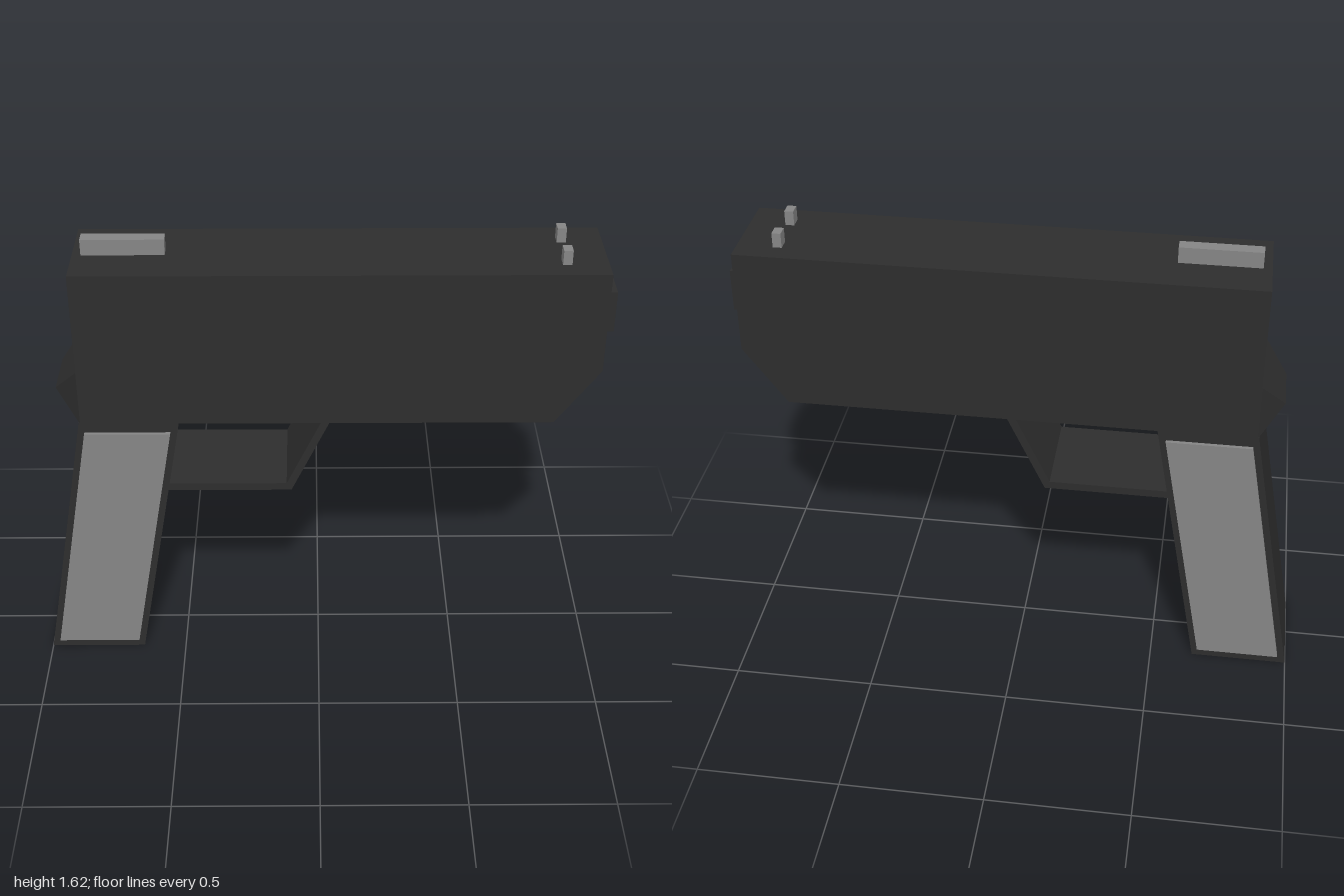
import * as THREE from 'three';
import { ConvexGeometry } from 'three/addons/geometries/ConvexGeometry.js';

const dark = new THREE.MeshStandardMaterial({ color: 0x2d2d2d, flatShading: true, side: THREE.DoubleSide });
const grey = new THREE.MeshStandardMaterial({ color: 0x858585, flatShading: true, side: THREE.DoubleSide });
const HALF = 0.174; // half thickness of the frame

const vecs = (pts) => pts.map(([x, y]) => new THREE.Vector2(x, y));

export function createModel() {
  const group = new THREE.Group();

  const add = (name, geometry, material) => {
    const mesh = new THREE.Mesh(geometry, material);
    mesh.name = name;
    group.add(mesh);
    return mesh;
  };

  // Side profile extruded from z0 to z1
  const slab = (name, pts, z0, z1, material = dark, hole = null) => {
    const shape = new THREE.Shape(vecs(pts));
    if (hole) shape.holes.push(new THREE.Path(vecs(hole)));
    const geo = new THREE.ExtrudeGeometry(shape, { depth: z1 - z0, bevelEnabled: false });
    return add(name, geo.translate(0, 0, z0), material);
  };

  const box = (name, x0, x1, y0, y1, z0, z1, material) => {
    const geo = new THREE.BoxGeometry(x1 - x0, y1 - y0, z1 - z0);
    return add(name, geo.translate((x0 + x1) / 2, (y0 + y1) / 2, (z0 + z1) / 2), material);
  };

  // Slide: two cheeks and a core notched for the bore
  const lower = [[-0.82, 1.565], [-0.82, 0.995], [0.81, 0.995], [0.96, 1.2]];
  const bore = [[0.96, 1.33], [0.5, 1.33], [0.5, 1.43], [0.96, 1.43]];
  const top = [[0.96, 1.565]];
  slab('slideCore', [...lower, ...bore, ...top], -0.07, 0.07);
  slab('slideLeft', [...lower, ...top], 0.07, HALF);
  slab('slideRight', [...lower, ...top], -HALF, -0.07);

  // Square muzzle collar
  const collar = new THREE.Shape(vecs([[-0.09, 1.305], [0.09, 1.305], [0.09, 1.455], [-0.09, 1.455]]));
  collar.holes.push(new THREE.Path(vecs([[-0.07, 1.33], [-0.07, 1.43], [0.07, 1.43], [0.07, 1.33]])));
  const collarGeo = new THREE.ExtrudeGeometry(collar, { depth: 0.04, bevelEnabled: false });
  add('muzzle', collarGeo.rotateY(Math.PI / 2).translate(0.96, 0, 0), dark);

  // Tapered tang behind the slide
  const tang = [];
  for (const s of [-1, 1]) {
    tang.push(new THREE.Vector3(-0.82, 0.995, s * HALF), new THREE.Vector3(-0.82, 1.2, s * HALF));
    tang.push(new THREE.Vector3(-0.905, 1.095, s * 0.095));
  }
  add('tang', new ConvexGeometry(tang), dark);

  // Hollow grip, open at the bottom: front and back walls
  const gripX = (y) => -1 + 0.175 * y;
  const strip = (a, b, y0, y1) => [
    [gripX(y0) + a, y0], [gripX(y0) + b, y0], [gripX(y1) + b, y1], [gripX(y1) + a, y1],
  ];
  slab('gripBackWall', strip(0, 0.028, 0, 1), -0.162, 0.162);
  slab('gripFrontWall', strip(0.317, 0.345, 0, 1), -0.162, 0.162);

  // Side rims with inset panels
  const window = strip(0.024, 0.321, 0.035, 0.96);
  for (const [side, s] of [['Left', 1], ['Right', -1]]) {
    const range = (a, b) => (s > 0 ? [a, b] : [-b, -a]);
    slab('gripRim' + side, strip(0, 0.345, 0, 1), ...range(0.162, HALF), dark, window);
    slab('gripPanel' + side, window, ...range(0.164, 0.187), grey);
  }

  // Trigger guard, full width
  slab('triggerGuard', [
    [-0.53, 0.715], [-0.095, 0.715], [0.04, 1], [0.01, 1], [-0.112, 0.743], [-0.53, 0.743],
  ], -HALF, HALF);

  // Sights
  box('rearSight', -0.79, -0.51, 1.56, 1.622, -0.023, 0.023, grey);
  for (const z of [-0.082, 0.082]) {
    box('frontSight', 0.805, 0.836, 1.56, 1.617, z - 0.022, z + 0.022, grey);
  }

  return group;
}
